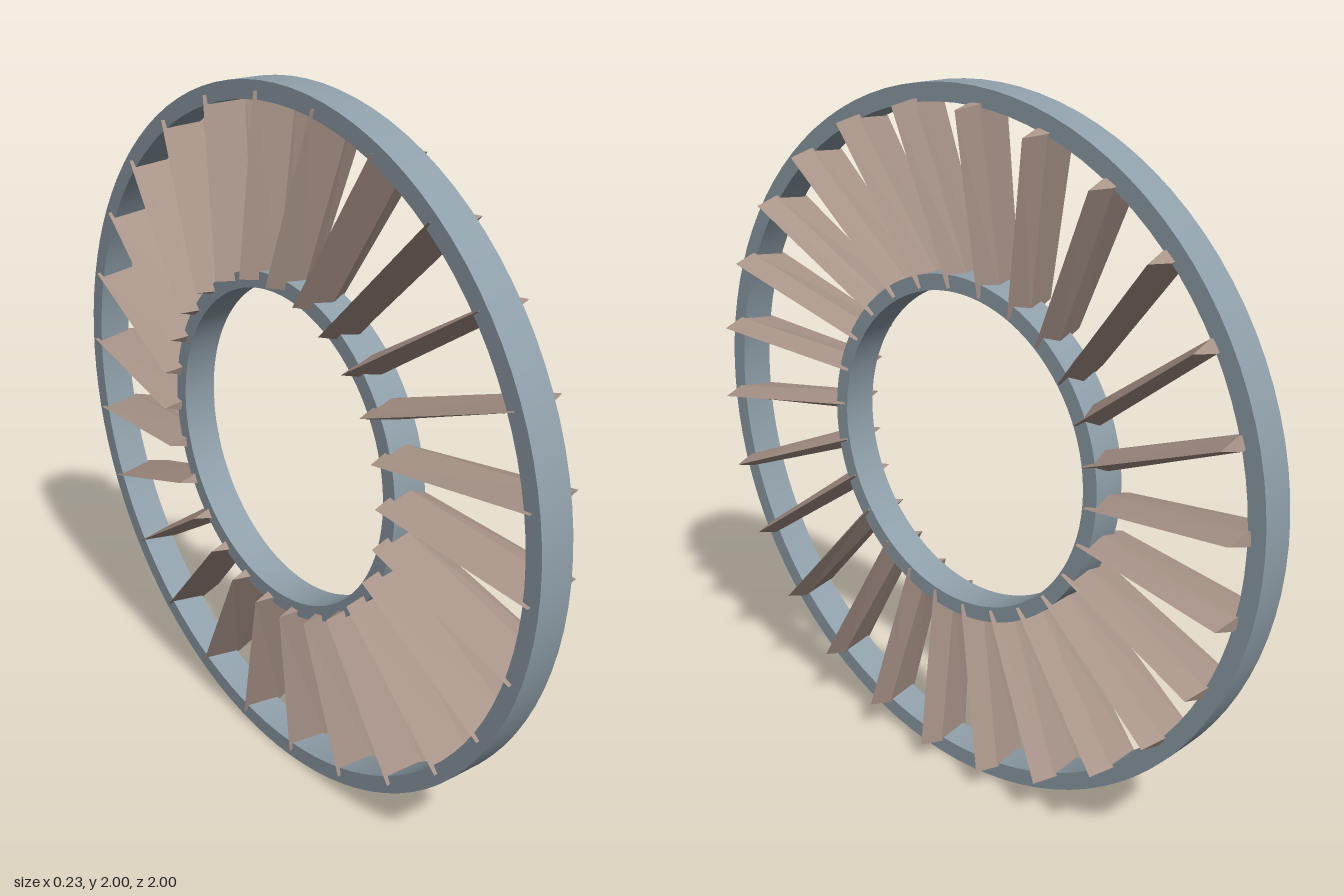
import * as THREE from 'three';
import { toCreasedNormals } from 'three/addons/utils/BufferGeometryUtils.js';

const BLADES = 26;

// Ring of rectangular section around the x axis
function ringGeometry(outer, inner, x0, x1) {
  const profile = [[outer, x0], [outer, x1], [inner, x1], [inner, x0], [outer, x0]]
    .map(([r, x]) => new THREE.Vector2(r, x));
  const geometry = new THREE.LatheGeometry(profile, 96).rotateZ(-Math.PI / 2);
  return toCreasedNormals(geometry, 0.6);
}

// Four-sided section: front edge, ridge, rear edge, ridge
function section(front, rear, z, thickness) {
  const ridge = front.clone().lerp(rear, 0.36);
  return [
    [front.x, front.y, z], [ridge.x, ridge.y, z + thickness / 2],
    [rear.x, rear.y, z], [ridge.x, ridge.y, z - thickness / 2],
  ];
}

// Tapered blade lofted from root to tip, leaning forward and sideways
function bladeGeometry() {
  const v = (x, y) => new THREE.Vector2(x, y);
  const root = section(v(0.045, 0.455), v(-0.12, 0.48), -0.086, 0.056);
  const tip = section(v(0.115, 0.945), v(-0.075, 0.972), -0.074, 0.038);
  const p = [];
  for (let i = 0; i < 4; i++) {
    const j = (i + 1) % 4;
    p.push(root[i], tip[i], tip[j], root[i], tip[j], root[j]);
  }
  p.push(tip[0], tip[3], tip[2], tip[0], tip[2], tip[1]);
  p.push(root[0], root[1], root[2], root[0], root[2], root[3]);
  const geometry = new THREE.BufferGeometry();
  geometry.setAttribute('position', new THREE.Float32BufferAttribute(p.flat(), 3));
  geometry.computeVertexNormals();
  return geometry;
}

export function createModel() {
  const steel = new THREE.MeshStandardMaterial({ color: 0x8f9fa9 });
  steel.name = 'blue grey steel';
  const bronze = new THREE.MeshStandardMaterial({ color: 0xa89388 });
  bronze.name = 'dull bronze';

  const model = new THREE.Group();
  model.name = 'bladeRing';
  const add = (name, geometry, material, parent) => {
    const mesh = new THREE.Mesh(geometry, material);
    mesh.name = name;
    parent.add(mesh);
    return mesh;
  };

  // Rings
  const wheel = new THREE.Group();
  wheel.name = 'wheel';
  wheel.position.y = 1;
  model.add(wheel);
  add('outerRing', ringGeometry(1, 0.95, -0.065, 0.037), steel, wheel);
  add('innerRing', ringGeometry(0.5, 0.455, -0.065, 0.037), steel, wheel);

  // Blades
  const blades = new THREE.Group();
  blades.name = 'blades';
  wheel.add(blades);
  const blade = bladeGeometry();
  for (let i = 0; i < BLADES; i++) {
    add('blade', blade, bronze, blades).rotation.x = (i / BLADES) * Math.PI * 2;
  }
  return model;
}
